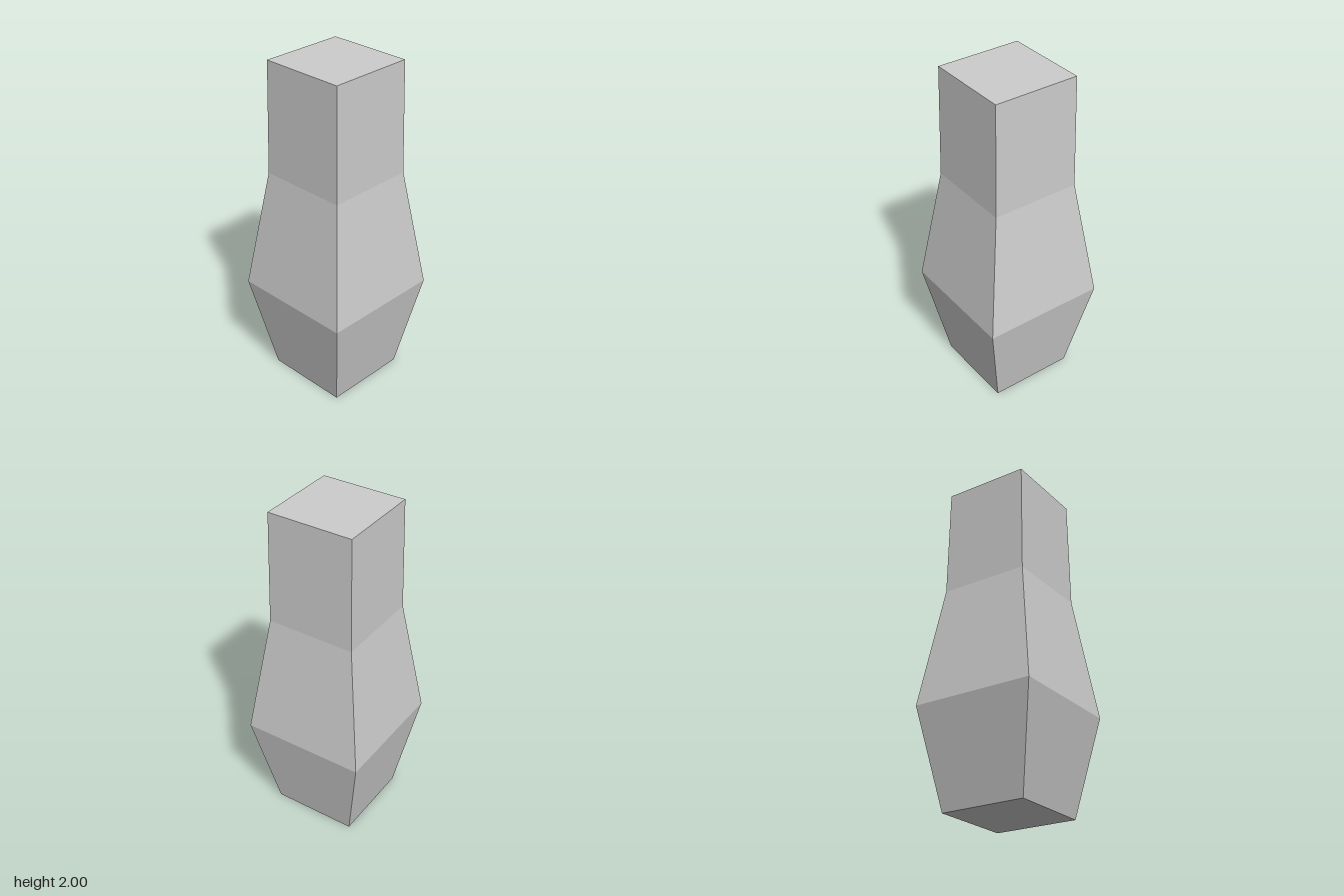
import * as THREE from 'three';

// Half-width of the square section at each height, bottom to top: [y, halfWidth]
const SECTIONS = [
  [0, 0.258],
  [0.6, 0.373],
  [1.33, 0.268],
  [2, 0.258],
];

// A box with one row of corners per section, each row moved to its height and width
function squareLoft(sections) {
  const rows = sections.length - 1;
  const box = new THREE.BoxGeometry(2, rows, 2, 1, rows, 1);
  const pos = box.attributes.position;
  for (let i = 0; i < pos.count; i++) {
    const [y, half] = sections[Math.round(pos.getY(i) + rows / 2)];
    pos.setXYZ(i, Math.sign(pos.getX(i)) * half, y, Math.sign(pos.getZ(i)) * half);
  }
  const geometry = box.toNonIndexed();
  geometry.computeVertexNormals();
  return geometry;
}

export function createModel() {
  const group = new THREE.Group();
  group.name = 'squareVase';

  // Solid faceted body: tapered foot, wide belly, narrowing shoulder and neck
  const material = new THREE.MeshStandardMaterial({ color: 0xcccccc, flatShading: true });
  const body = new THREE.Mesh(squareLoft(SECTIONS), material);
  body.name = 'body';
  group.add(body);

  return group;
}
